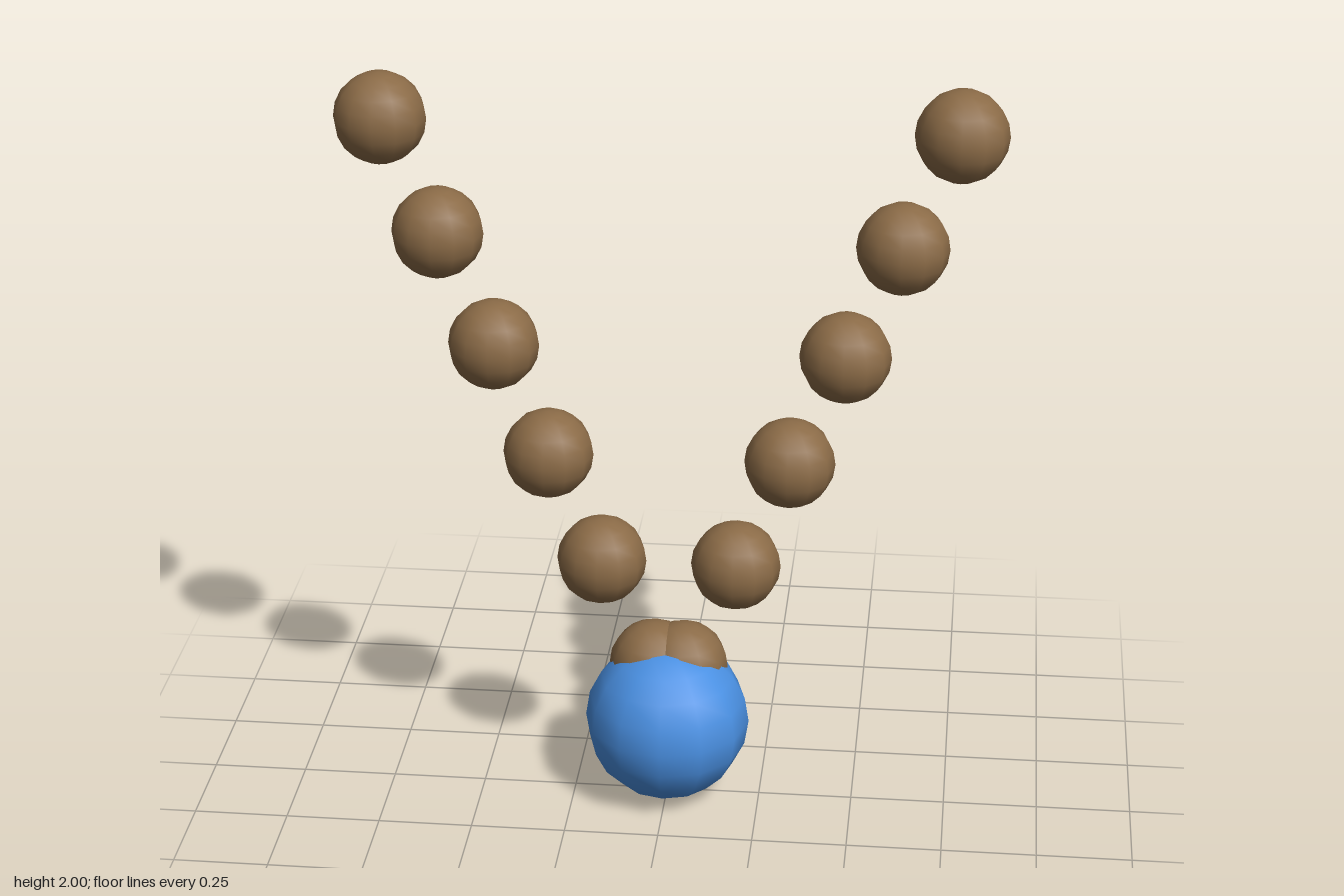
import * as THREE from 'three';

export function createModel() {
  const model = new THREE.Group();
  const blue = new THREE.MeshStandardMaterial({ color: 0x4a90e2 });
  blue.name = 'blue';
  const brown = new THREE.MeshStandardMaterial({ color: 0x8b6b47 });
  brown.name = 'brown';

  // Smooth, coarse ball
  const ball = (name, radius, material, x, y, z, parent) => {
    const mesh = new THREE.Mesh(new THREE.SphereGeometry(radius, 12, 10), material);
    mesh.name = name;
    mesh.position.set(x, y, z);
    parent.add(mesh);
  };

  // Body resting on the ground
  ball('body', 0.22, blue, 0, 0.22, 0, model);

  // Two straight rows of beads fanning upward from the body
  for (const side of [1, -1]) {
    const row = new THREE.Group();
    row.name = side > 0 ? 'leftBeadRow' : 'rightBeadRow';
    for (let i = 0; i < 6; i++) {
      ball(`bead${i + 1}`, 0.119, brown, side * (0.04 + 0.1385 * i), 0.364 + 0.3034 * i, -0.04, row);
    }
    model.add(row);
  }
  return model;
}
